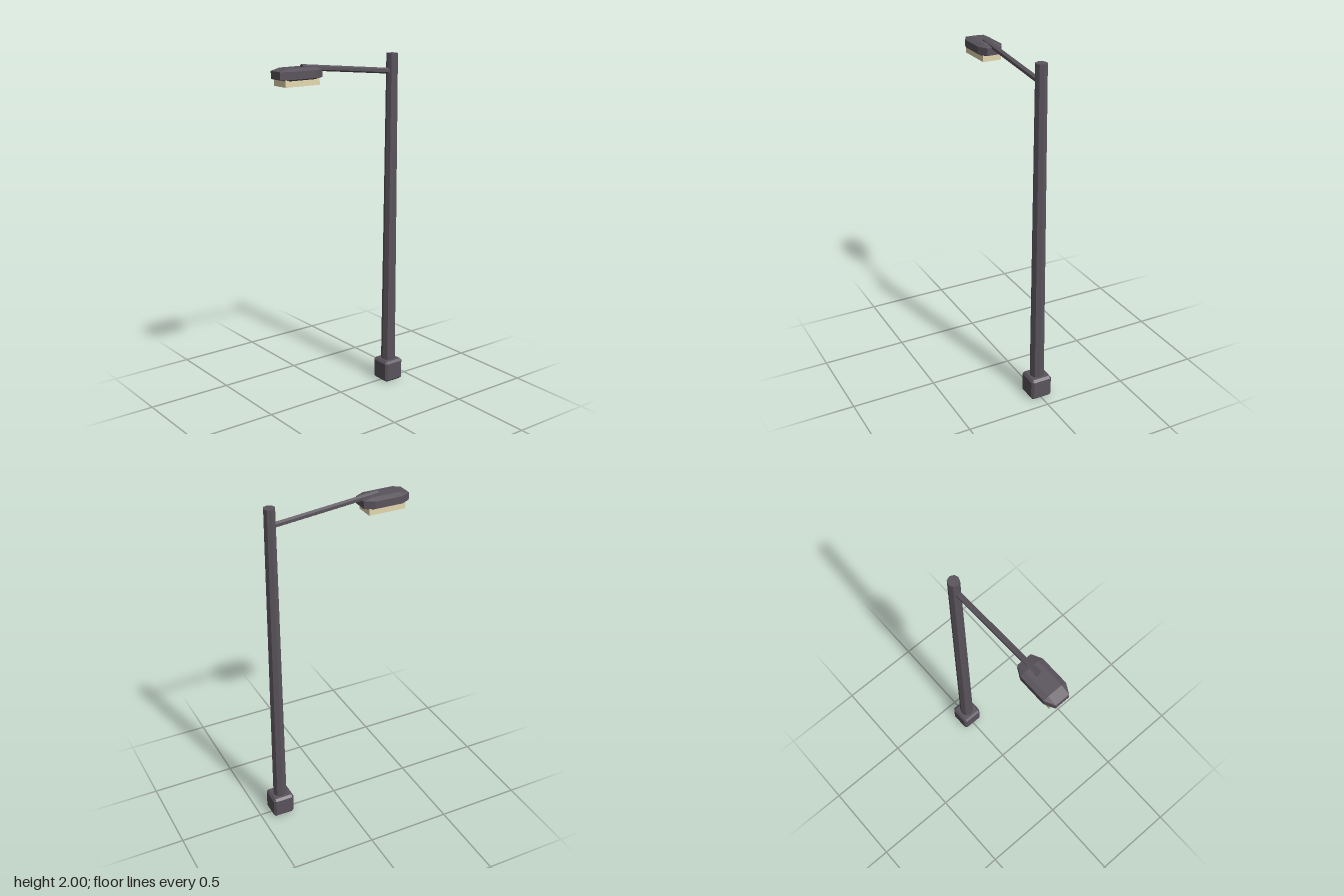
import * as THREE from 'three';
import { ConvexGeometry } from 'three/addons/geometries/ConvexGeometry.js';

const metal = new THREE.MeshStandardMaterial({ color: 0x5a545c, flatShading: true });
const glass = new THREE.MeshStandardMaterial({ color: 0xe6d9b0, flatShading: true });

// Box with every edge chamfered by a fraction of its size
function chamferedBox(w, h, d, fraction) {
  const points = [];
  const inner = 1 - 2 * fraction;
  for (const sx of [-1, 1]) for (const sy of [-1, 1]) for (const sz of [-1, 1]) {
    for (let full = 0; full < 3; full++) {
      const k = [inner, inner, inner];
      k[full] = 1;
      points.push(new THREE.Vector3(sx * k[0] * w / 2, sy * k[1] * h / 2, sz * k[2] * d / 2));
    }
  }
  return new ConvexGeometry(points);
}

export function createModel() {
  const model = new THREE.Group();
  model.name = 'streetLamp';

  function add(name, geometry, material, x, y, z) {
    const mesh = new THREE.Mesh(geometry, material);
    mesh.name = name;
    mesh.position.set(x, y, z);
    model.add(mesh);
    return mesh;
  }

  const poleZ = -0.367;

  // Footing block and tapered octagonal pole
  add('base', chamferedBox(0.13, 0.132, 0.13, 0.1), metal, 0, 0.066, poleZ);
  add('pole', new THREE.CylinderGeometry(0.033, 0.043, 1.93, 8), metal, 0, 1.035, poleZ);

  // Hexagonal arm rising from the pole to the lamp head, ridge on top
  const from = new THREE.Vector3(0, 1.898, poleZ);
  const to = new THREE.Vector3(0, 1.96, 0.264);
  const run = to.clone().sub(from);
  const middle = from.clone().lerp(to, 0.5);
  const arm = add('arm', new THREE.CylinderGeometry(0.0165, 0.0165, run.length(), 6),
    metal, middle.x, middle.y, middle.z);
  arm.quaternion.setFromUnitVectors(new THREE.Vector3(0, 1, 0), run.normalize());

  // Lamp head with its light panel underneath
  add('lampHead', chamferedBox(0.143, 0.07, 0.275, 0.2), metal, 0, 1.927, 0.293);
  add('lightPanel', new THREE.BoxGeometry(0.11, 0.04, 0.22), glass, 0, 1.886, 0.293);

  return model;
}
